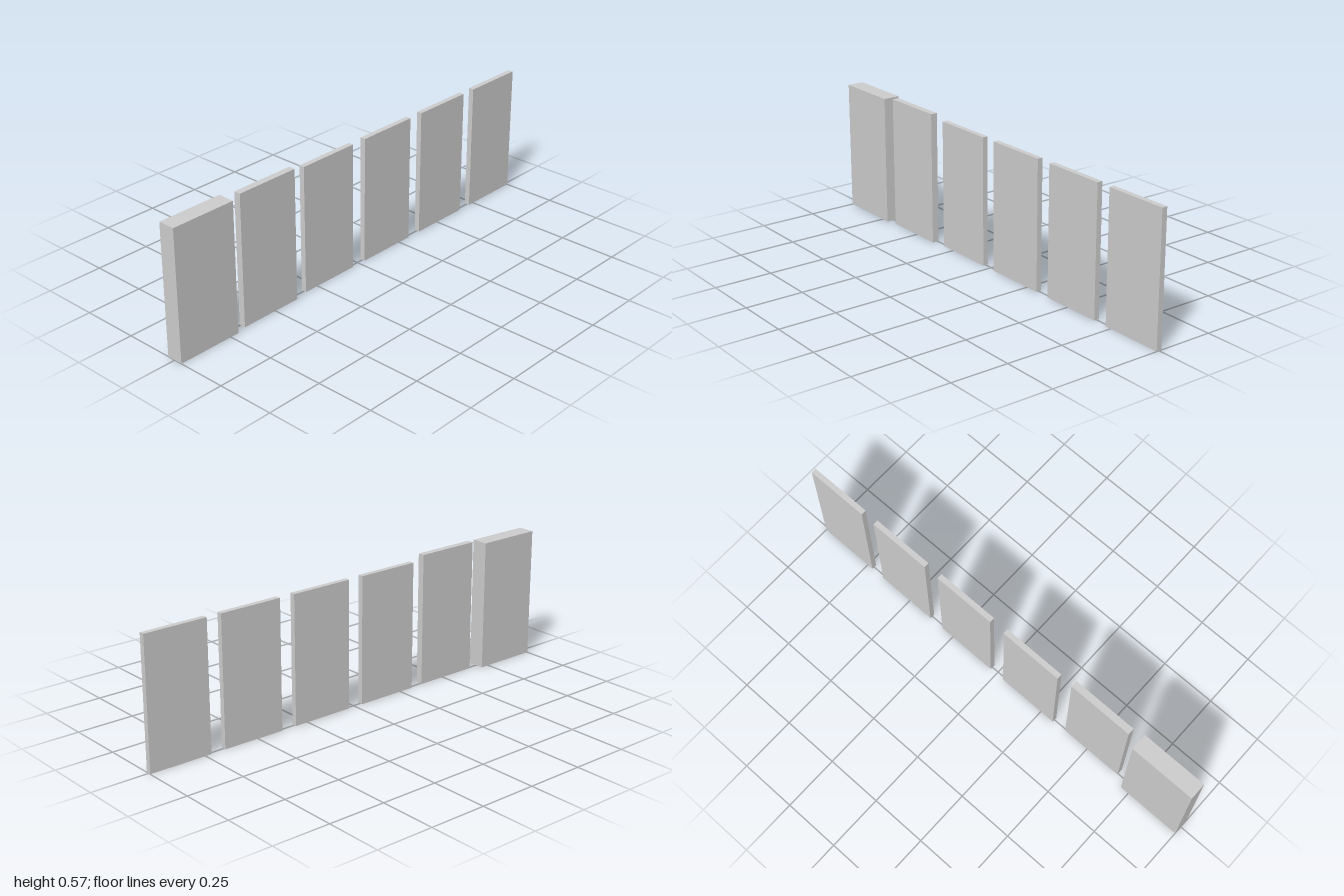
import * as THREE from 'three';

export function createModel() {
  const model = new THREE.Group();
  const material = new THREE.MeshStandardMaterial({ color: 0xcccccc });

  // Upright slab standing on the ground, given by its x and z extents
  function slab(name, x0, x1, height, z0, z1) {
    const mesh = new THREE.Mesh(new THREE.BoxGeometry(x1 - x0, height, z1 - z0), material);
    mesh.position.set((x0 + x1) / 2, height / 2, (z0 + z1) / 2);
    mesh.name = name;
    model.add(mesh);
  }

  // Thick end block and the slightly taller board beside it
  slab('thickBlock', -1, -0.711, 0.566, -0.036, 0.037);
  slab('tallBoard', -0.665, -0.379, 0.573, -0.004, 0.025);

  // Row of four equal thin boards
  const width = 0.278;
  [-0.316, 0.032, 0.379, 0.722].forEach((x, i) => {
    slab('thinBoard' + (i + 1), x, x + width, 0.554, -0.011, 0.012);
  });

  return model;
}
